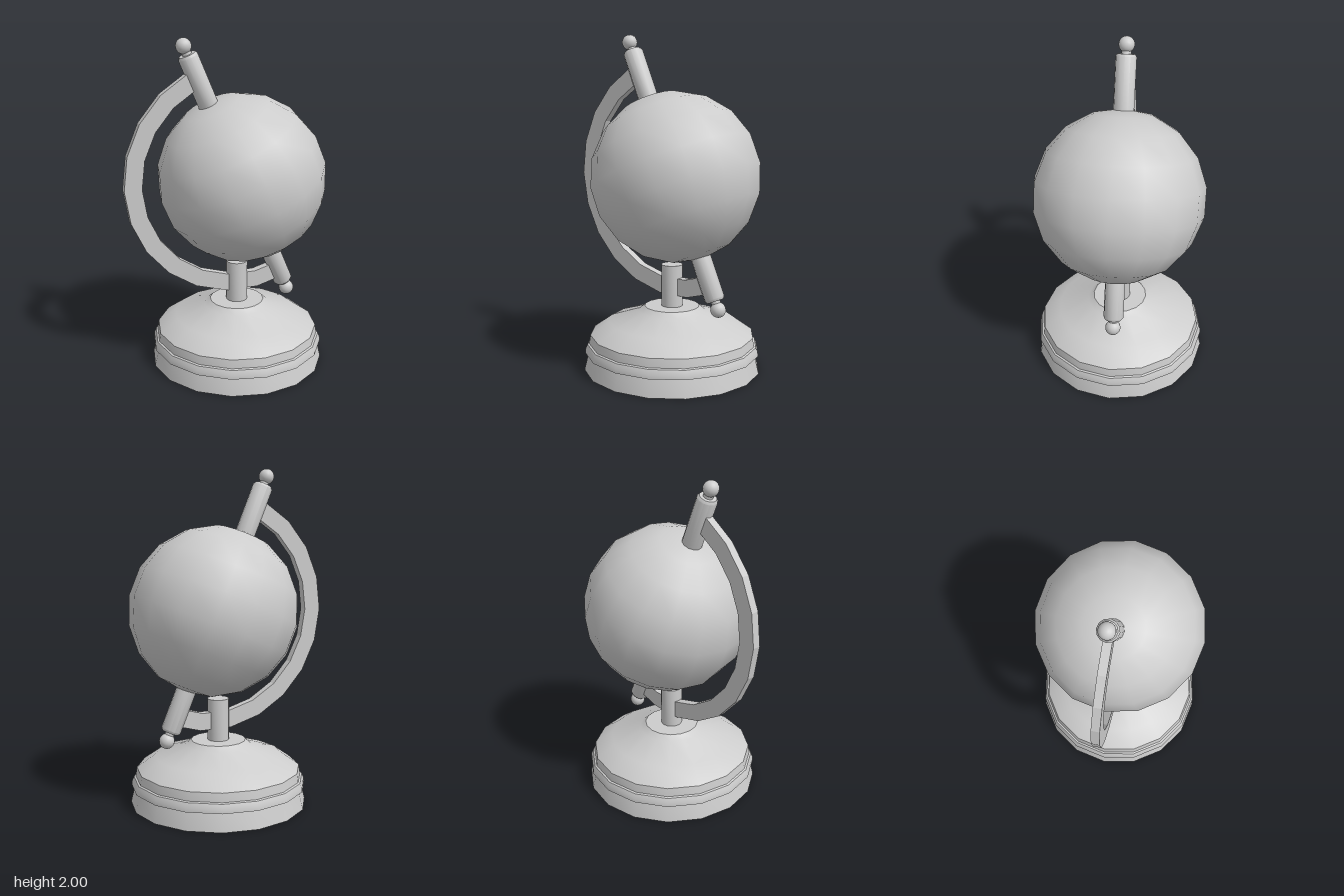
import * as THREE from 'three';
import { toCreasedNormals } from 'three/addons/utils/BufferGeometryUtils.js';

export function createModel() {
  const group = new THREE.Group();
  const grey = new THREE.MeshStandardMaterial({ color: 0xcccccc });
  grey.name = 'plain grey';

  const add = (parent, name, geometry, x = 0, y = 0, z = 0) => {
    const mesh = new THREE.Mesh(geometry, grey);
    mesh.name = name;
    mesh.position.set(x, y, z);
    parent.add(mesh);
    return mesh;
  };
  const lathe = (points, sides, crease = 0.6) => toCreasedNormals(
    new THREE.LatheGeometry(points.map(([r, y]) => new THREE.Vector2(r, y)), sides), crease);

  // Stepped base: flared foot, rim band and shallow dome
  const baseX = 0.076;
  add(group, 'base', lathe([
    [0, 0], [0.532, 0], [0.507, 0.105], [0.527, 0.107], [0.525, 0.13], [0.513, 0.158],
    [0.502, 0.163], [0.494, 0.215], [0.385, 0.293], [0.2, 0.354], [0.165, 0.384], [0, 0.385],
  ], 16), baseX);

  // Upright post that carries the arm
  add(group, 'post', lathe([[0, 0.37], [0.065, 0.37], [0.065, 0.637], [0, 0.637]], 16), baseX);

  // Faceted curved arm, drawn as a flat arc with thickness
  const arc = new THREE.Shape();
  const steps = 11, start = 117, step = 16.1;
  const corner = (r, i) => {
    const a = THREE.MathUtils.degToRad(start + step * i);
    return [r * Math.cos(a), r * Math.sin(a)];
  };
  arc.moveTo(...corner(0.717, 0));
  for (let i = 1; i <= steps; i++) arc.lineTo(...corner(0.717, i));
  for (let i = steps; i >= 0; i--) arc.lineTo(...corner(0.612, i));
  arc.closePath();
  const armGeometry = new THREE.ExtrudeGeometry(arc, { depth: 0.05, bevelEnabled: false });
  armGeometry.translate(0, 0, -0.025);
  add(group, 'arm', armGeometry, 0.103, 1.165);

  // Tilted globe
  const tilt = THREE.MathUtils.degToRad(23);
  const globe = add(group, 'globe', new THREE.SphereGeometry(0.506, 16, 9), 0.103, 1.165);
  globe.rotation.z = tilt;

  // Axle pins with ball ends, mirrored about the middle of the axis
  const axis = new THREE.Group();
  axis.name = 'axis';
  axis.position.set(0.0825, 1.182, 0);
  axis.rotation.z = tilt;
  group.add(axis);
  for (const end of [0, 1]) {
    const pin = new THREE.Group();
    pin.name = end ? 'bottomPin' : 'topPin';
    pin.rotation.z = end * Math.PI;
    axis.add(pin);
    add(pin, 'sleeve', lathe([[0, 0.46], [0.06, 0.46], [0.06, 0.77], [0.05, 0.785], [0, 0.785]], 12));
    add(pin, 'neck', new THREE.CylinderGeometry(0.025, 0.03, 0.06, 12), 0, 0.8);
    add(pin, 'ball', new THREE.SphereGeometry(0.046, 16, 12), 0, 0.837);
  }
  return group;
}
